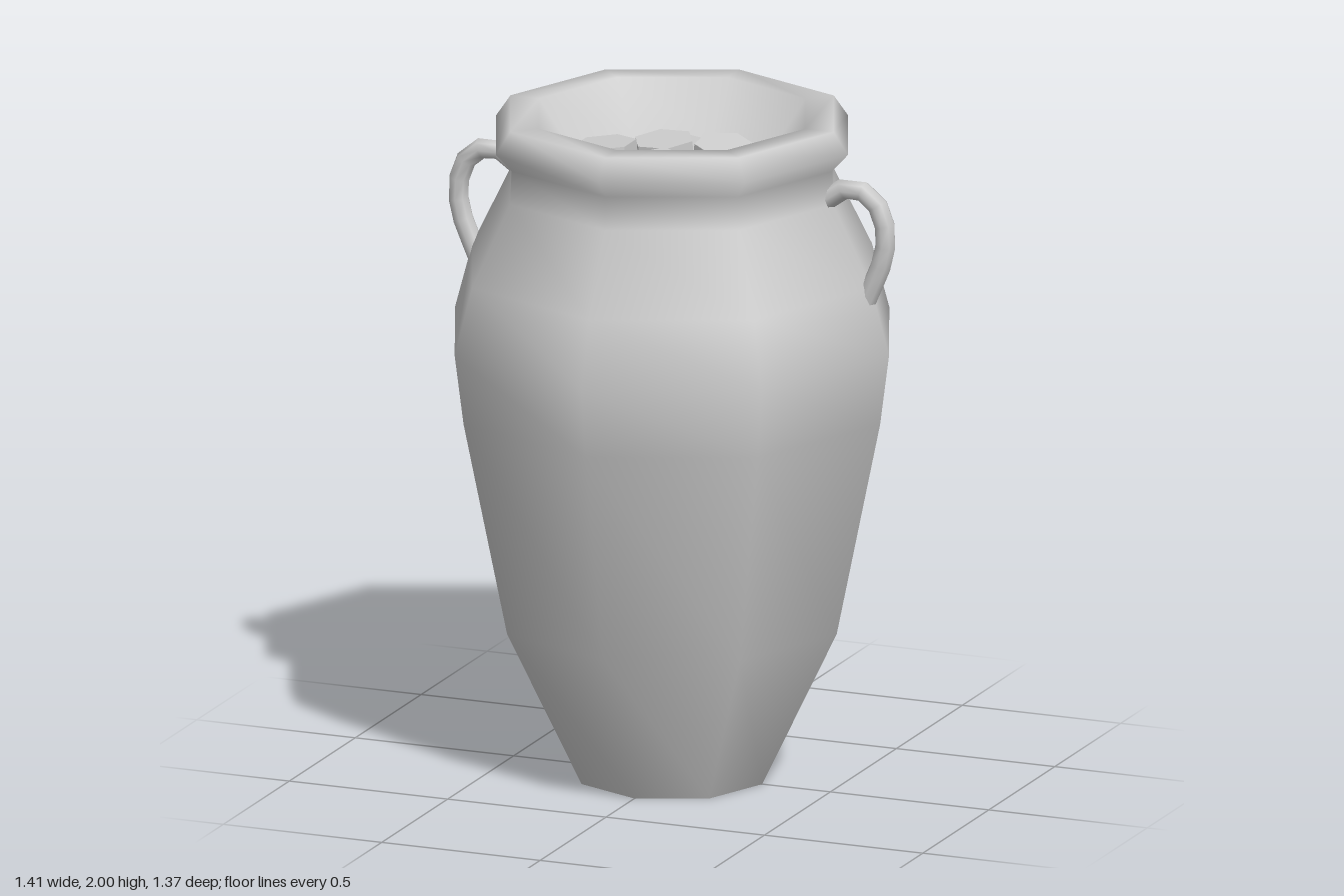
import * as THREE from 'three';

const grey = new THREE.MeshStandardMaterial({ color: 0xcccccc });
const greyFlat = new THREE.MeshStandardMaterial({ color: 0xcccccc, flatShading: true });
const greyOpen = new THREE.MeshStandardMaterial({ color: 0xcccccc, flatShading: true, side: THREE.DoubleSide });

function add(parent, name, geometry, material) {
  const mesh = new THREE.Mesh(geometry, material);
  mesh.name = name;
  parent.add(mesh);
  return mesh;
}

// Eight-sided jar wall, lip and inner bowl, with a triangular break in one face
function makeJar() {
  const profile = [
    [0.285, 0], [0.52, 0.48], [0.657, 1.13], [0.685, 1.34], [0.63, 1.54], [0.51, 1.78],
    [0.505, 1.88], [0.555, 1.935], [0.51, 2], [0.42, 2], [0.31, 1.85], [0, 1.81],
  ].map(([x, y]) => new THREE.Vector2(x, y));
  const n = profile.length, segment = 5, band = 1;
  const lathe = new THREE.LatheGeometry(profile, 8);
  const pos = Array.from(lathe.attributes.position.array);
  const nor = Array.from(lathe.attributes.normal.array);
  const a = band + segment * n, b = a + n, c = b + 1, d = a + 1;

  // add a vertex inside the broken face at fractions u (across) and v (up)
  const addPoint = (u, v) => {
    for (const list of [pos, nor]) {
      const at = (i) => new THREE.Vector3().fromArray(list, i * 3);
      const p = at(a).lerp(at(b), u).lerp(at(d).lerp(at(c), u), v);
      list.push(p.x, p.y, p.z);
    }
    return pos.length / 3 - 1;
  };
  const A = addPoint(0.3, 1), C = addPoint(0.67, 0.5);
  const index = Array.from(lathe.index.array);
  index.splice((segment * (n - 1) + band) * 6, 6, a, b, C, b, c, C, a, C, A, a, A, d);

  const jar = new THREE.BufferGeometry();
  jar.setAttribute('position', new THREE.Float32BufferAttribute(pos, 3));
  jar.setAttribute('normal', new THREE.Float32BufferAttribute(nor, 3));
  jar.setIndex(index);

  // shallow pocket behind the break
  const corners = [A, C, c].map((i) => new THREE.Vector3().fromArray(pos, i * 3));
  const apex = corners[0].clone().add(corners[1]).add(corners[2]).divideScalar(3);
  apex.x *= 0.65;
  apex.z *= 0.65;
  const pocket = new THREE.BufferGeometry().setFromPoints(
    corners.flatMap((p, i) => [p, corners[(i + 1) % 3], apex]));
  pocket.computeVertexNormals();
  return { jar, pocket };
}

export function createModel() {
  const model = new THREE.Group();
  model.name = 'jarOfCoins';

  const { jar, pocket } = makeJar();
  add(model, 'jarBody', jar, grey);
  add(model, 'brokenPocket', pocket, greyOpen);

  const base = add(model, 'jarBase', new THREE.CircleGeometry(0.285, 8), grey);
  base.rotation.x = Math.PI / 2;

  // Pair of loop handles
  for (const side of [1, -1]) {
    const path = new THREE.CatmullRomCurve3([
      [0.49, 1.795], [0.555, 1.835], [0.63, 1.815], [0.672, 1.73], [0.668, 1.64], [0.61, 1.495],
    ].map(([x, y]) => new THREE.Vector3(side * x, y, 0)));
    add(model, side > 0 ? 'leftHandle' : 'rightHandle', new THREE.TubeGeometry(path, 8, 0.031, 8), grey);
  }

  const coin = new THREE.CylinderGeometry(0.092, 0.092, 0.035, 6);
  const placeCoin = (parent, name, [x, y, z, rx, ry, rz]) => {
    const mesh = add(parent, name, coin, greyFlat);
    mesh.position.set(x, y, z);
    mesh.rotation.set(rx, ry, rz);
  };

  // Coins heaped in the mouth: position, then tilt
  const heap = new THREE.Group();
  heap.name = 'coinHeap';
  model.add(heap);
  [
    [-0.05, 1.85, -0.13, 0.12, 0.1, 0.1],
    [-0.05, 1.885, -0.06, 0.05, 0.5, 0.05],
    [0.13, 1.88, -0.09, 0.12, 0, -0.15],
    [-0.18, 1.895, 0.07, 0, 0, 0.08],
    [-0.17, 1.85, 0.05, 0.1, 0.3, 0],
    [0, 1.88, 0.14, 0.15, 0.05, 0.1],
    [0.14, 1.87, 0.09, 0.15, 0.25, -0.3],
    [-0.01, 1.84, 0.11, 0, 0.4, 0.1],
    [0.05, 1.835, 0.02, 0.2, 0.2, 0.1],
  ].forEach((c) => placeCoin(heap, 'coin', c));

  // Coins spilling from the break; local +z points out of the broken face
  const spill = new THREE.Group();
  spill.name = 'coinSpill';
  spill.rotation.y = Math.PI * 1.375;
  model.add(spill);
  [
    [0.04, 1.07, 0.575, 0.2, 0.2, -0.1],
    [0.05, 1.0, 0.57, 0.35, 0.6, 0.25],
    [0.08, 0.94, 0.545, 0.3, 0.1, -0.35],
  ].forEach((c) => placeCoin(spill, 'spilledCoin', c));

  return model;
}
